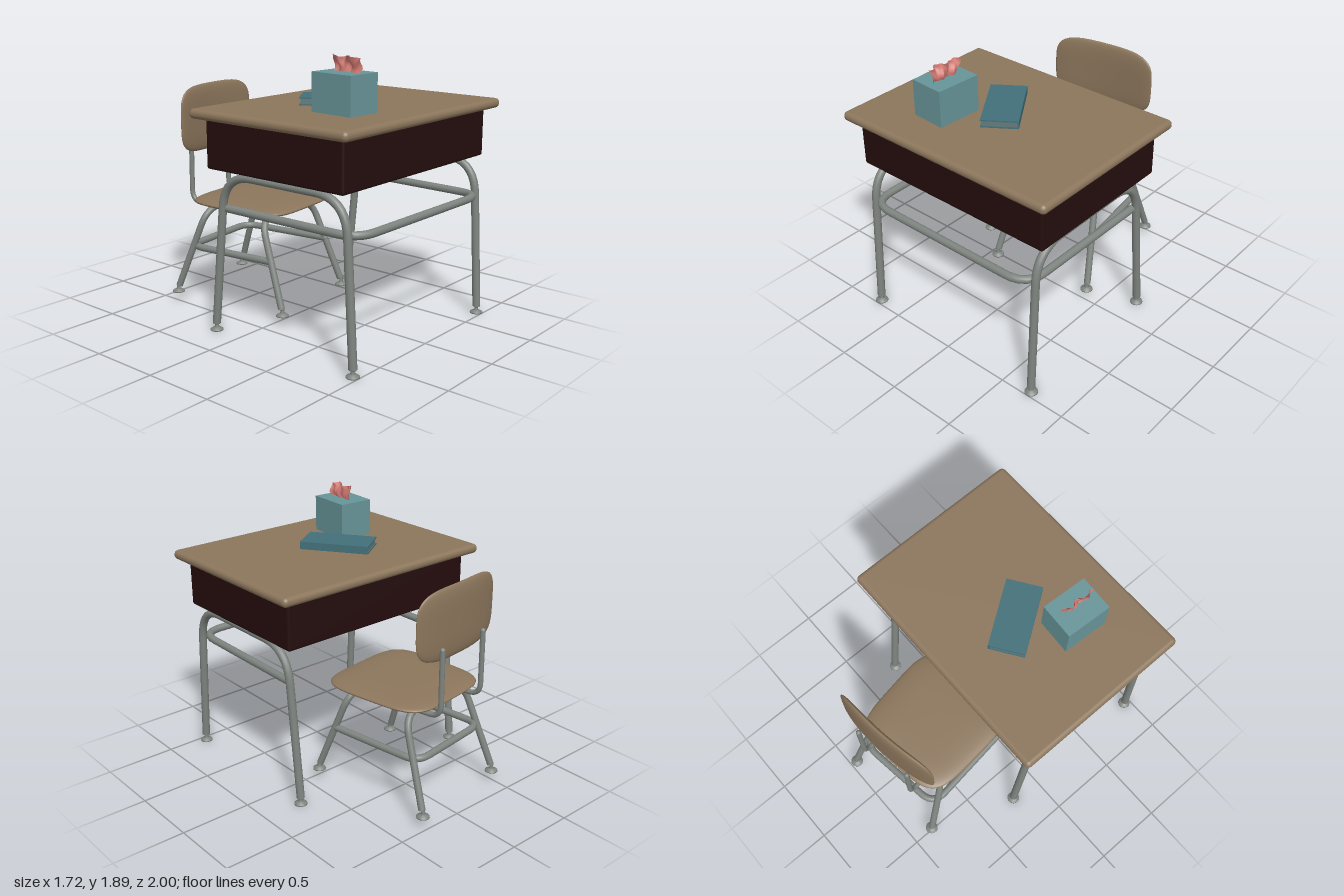
import * as THREE from 'three';
import { mergeVertices } from 'three/addons/utils/BufferGeometryUtils.js';
import { RoundedBoxGeometry } from 'three/addons/geometries/RoundedBoxGeometry.js';

const mat = (name, color, extra = {}) => {
  const m = new THREE.MeshStandardMaterial({ color, ...extra });
  m.name = name;
  return m;
};

export function createModel() {
  const wood = mat('tan wood', 0x8c765c);
  const metal = mat('grey metal', 0x7e847f);
  const dark = mat('dark brown', 0x250d0d);
  const boxTeal = mat('light teal', 0x689599);
  const bookTeal = mat('deep teal', 0x43707a);
  const paper = mat('grey pages', 0x677a7a);
  const pink = mat('pink tissue', 0xd67c74, { side: THREE.DoubleSide });

  const group = (parent, name, x = 0, y = 0, z = 0, turn = 0) => {
    const g = new THREE.Group();
    g.name = name;
    g.position.set(x, y, z);
    g.rotation.y = turn;
    parent.add(g);
    return g;
  };
  const add = (parent, name, geo, material, x = 0, y = 0, z = 0) => {
    const m = new THREE.Mesh(geo, material);
    m.name = name;
    m.position.set(x, y, z);
    parent.add(m);
    return m;
  };

  // Bent pipe: straight runs joined by rounded corners, with domed ends
  const pipe = (parent, name, pts, radius, fillet) => {
    const p = pts.map((a) => new THREE.Vector3(...a));
    const path = new THREE.CurvePath();
    let from = p[0];
    for (let i = 1; i < p.length - 1; i++) {
      const toward = (q) => p[i].clone().add(q.clone().sub(p[i]).setLength(fillet));
      const a = toward(p[i - 1]), b = toward(p[i + 1]);
      path.add(new THREE.LineCurve3(from, a));
      path.add(new THREE.QuadraticBezierCurve3(a, p[i], b));
      from = b;
    }
    path.add(new THREE.LineCurve3(from, p[p.length - 1]));
    add(parent, name, new THREE.TubeGeometry(path, 72, radius, 14), metal);
    for (const e of [p[0], p[p.length - 1]]) {
      const cap = add(parent, name + 'End', new THREE.SphereGeometry(radius, 14, 8), metal, e.x, e.y, e.z);
      cap.scale.setScalar(0.98);
      if (Math.abs(e.y) < 0.2) cap.scale.y = 0.3;
    }
  };

  // Glide foot: flared pad with a thin stem
  const foot = (parent, x, y, z) => {
    const profile = [[0, 0], [0.045, 0], [0.044, 0.007], [0.022, 0.021], [0.013, 0.024], [0.013, 0.06]];
    add(parent, 'foot', new THREE.LatheGeometry(profile.map((a) => new THREE.Vector2(...a)), 20), metal, x, y, z);
  };

  // Soft-edged pad: a sphere squared off in plan and flattened
  const pad = (halfX, halfY, halfZ, power) => {
    let g = new THREE.SphereGeometry(1, 72, 32);
    g.deleteAttribute('uv');
    g.deleteAttribute('normal');
    const v = g.attributes.position;
    for (let i = 0; i < v.count; i++) {
      const x = v.getX(i), y = v.getY(i), z = v.getZ(i);
      const r = Math.min(1, Math.hypot(x, z));
      let k = 0;
      if (r > 1e-5) k = Math.pow(Math.abs(x / r) ** power + Math.abs(z / r) ** power, -1 / power);
      v.setXYZ(i, x * k * halfX, Math.sign(y) * Math.sqrt(1 - r ** 4) * halfY, z * k * halfZ);
    }
    g = mergeVertices(g, 1e-5);
    g.computeVertexNormals();
    return g;
  };
  const reshape = (g, rule) => {
    const v = g.attributes.position;
    for (let i = 0; i < v.count; i++) v.setXYZ(i, ...rule(v.getX(i), v.getY(i), v.getZ(i)));
    g.computeVertexNormals();
    return g;
  };

  const root = new THREE.Group();
  root.name = 'schoolDesk';

  // Desk
  const desk = group(root, 'desk', -0.003, 0, 0);
  add(desk, 'deskTop', new RoundedBoxGeometry(1.715, 0.067, 1.3, 5, 0.032), wood, 0, 1.502, 0.35);
  add(desk, 'storageBody', new RoundedBoxGeometry(1.555, 0.35, 1.14, 3, 0.018), dark, 0, 1.311, 0.35);
  for (const s of [-1, 1]) {
    const x = s * 0.716;
    pipe(desk, 'deskLegs', [[x, 0.05, 0.957], [x, 1.108, 0.895], [x, 1.108, -0.115], [x, 0.05, -0.22]], 0.028, 0.24);
    foot(desk, x, 0, 0.957);
    foot(desk, x, 0, -0.22);
  }
  pipe(desk, 'deskBrace',
    [[-0.7, 0.872, -0.115], [-0.69, 0.872, 0.962], [0.69, 0.872, 0.962], [0.7, 0.872, -0.115]], 0.027, 0.17);

  // Chair, turned slightly and tucked under the desk
  const chair = group(root, 'chair', -0.05, 0.07, -0.44, 0.134);
  const seat = reshape(pad(0.415, 0.036, 0.415, 4.5), (x, y, z) =>
    [x * (0.965 + 0.09 * z), y, z]);
  add(chair, 'seat', seat, wood, 0, 0.695, 0.022);
  const back = pad(0.402, 0.028, 0.243, 4);
  back.rotateX(Math.PI / 2);
  reshape(back, (x, y, z) => [x, y, z + 0.22 * x * x]);
  add(chair, 'backrest', back, wood, 0, 1.272, -0.417);

  for (const s of [-1, 1]) {
    const top = s * 0.24;
    pipe(chair, 'chairLegs',
      [[-0.39, 0.05, s * 0.455], [-0.315, 0.645, top], [0.315, 0.645, top], [0.39, 0.05, s * 0.455]], 0.024, 0.14);
    for (const t of [-1, 1]) foot(chair, t * 0.39, 0, s * 0.465);
    // Back post, bending forward below the seat
    const x = s * 0.217;
    pipe(chair, 'backPost', [[x, 1.12, -0.449], [x, 0.655, -0.452], [x, 0.645, -0.2]], 0.018, 0.09);
  }
  pipe(chair, 'chairBrace',
    [[-0.35, 0.357, 0.345], [-0.345, 0.357, -0.375], [0.345, 0.357, -0.375], [0.35, 0.357, 0.345]], 0.025, 0.12);

  // Tissue box with a crumpled sheet
  const tissues = group(root, 'tissueBox', -0.329, 1.535, 0.565, -0.06);
  add(tissues, 'carton', new THREE.BoxGeometry(0.252, 0.255, 0.325), boxTeal, 0, 0.1275, 0);
  const sheet = reshape(new THREE.PlaneGeometry(1, 1, 18, 6), (u, v) => {
    const h = v + 0.5;
    const wave = 0.014 * Math.sin(u * 13 + h * 2) + 0.008 * Math.sin(u * 29 - h * 3);
    return [
      wave * (0.5 + 0.6 * h) + 0.012 * Math.sin(h * 5) * (u > 0 ? 1 : 0.5),
      0.25 + h * (0.103 + 0.006 * Math.sin(u * 11)),
      u * (0.2 + 0.05 * h) + 0.008 * Math.sin(h * 6),
    ];
  });
  add(tissues, 'tissue', sheet, pink, 0.005, 0, 0.008);

  // Closed book: two covers, spine and inset pages
  const book = group(root, 'book', -0.067, 1.535, 0.3, 0.6);
  for (const y of [0.005, 0.05]) {
    add(book, 'cover', new THREE.BoxGeometry(0.248, 0.009, 0.488), bookTeal, 0, y, 0);
  }
  add(book, 'spine', new THREE.BoxGeometry(0.01, 0.037, 0.488), bookTeal, 0.119, 0.0275, 0);
  add(book, 'pages', new THREE.BoxGeometry(0.23, 0.036, 0.47), paper, 0, 0.0275, 0);

  return root;
}
